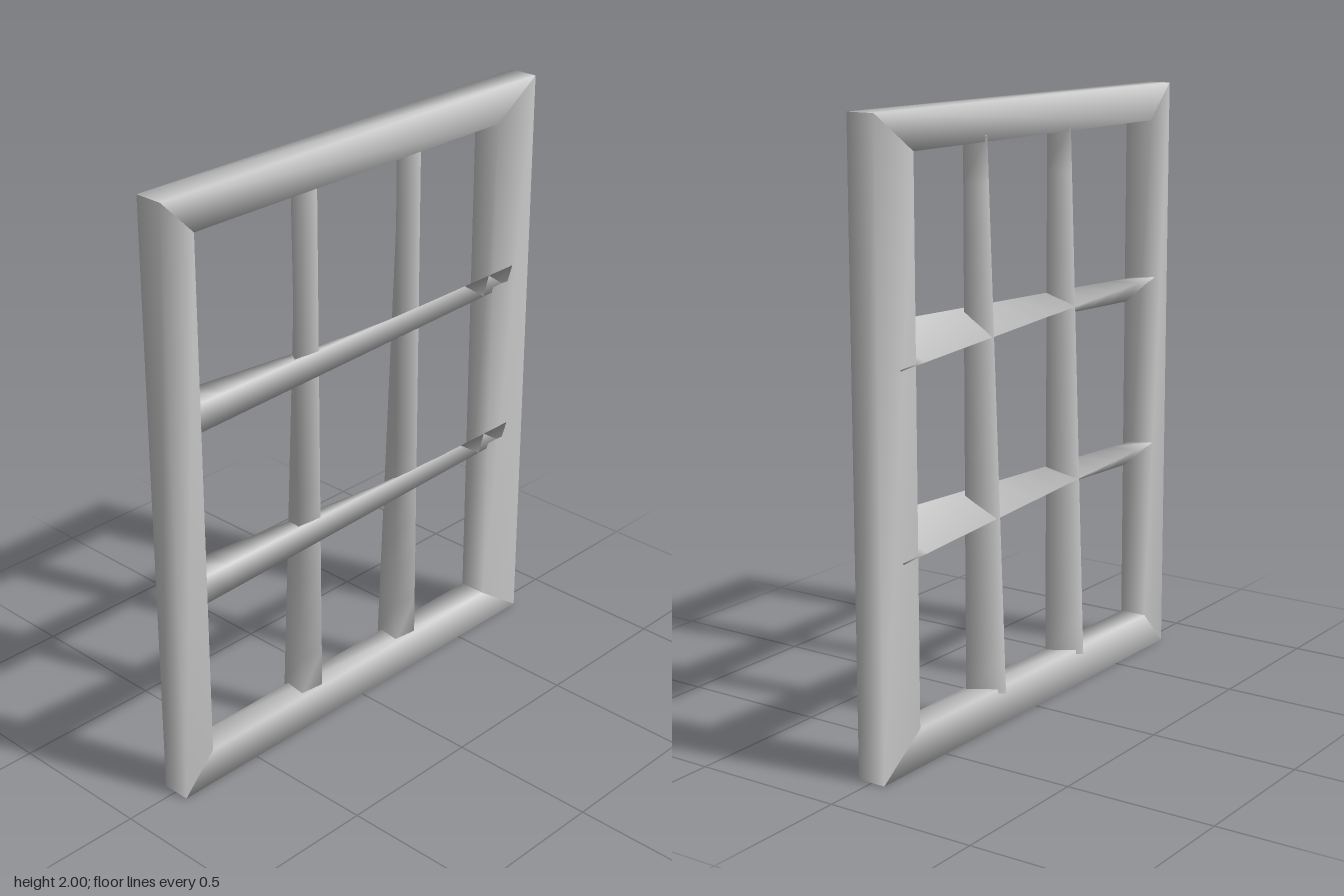
import * as THREE from 'three';

const material = new THREE.MeshStandardMaterial({ color: 0xcccccc });
const V = (x, y, z) => new THREE.Vector3(x, y, z);

// Smooth-shaded bar blended from cross-section a to b, with optional flat end caps
function loft(name, a, b, steps, capped) {
  const n = a.length, pos = [], index = [];
  for (let s = 0; s <= steps; s++)
    for (let i = 0; i < n; i++) pos.push(...a[i].clone().lerp(b[i], s / steps).toArray());
  for (let s = 0; s < steps; s++)
    for (let i = 0; i < n; i++) {
      const p = s * n + i, q = s * n + (i + 1) % n;
      index.push(p, q, q + n, p, q + n, p + n);
    }
  if (capped) {
    const first = pos.length / 3;
    for (const p of [...a, ...b]) pos.push(...p.toArray());
    for (let i = 1; i < n - 1; i++) {
      index.push(first, first + i + 1, first + i);
      index.push(first + n, first + n + i, first + n + i + 1);
    }
  }
  const geometry = new THREE.BufferGeometry();
  geometry.setAttribute('position', new THREE.Float32BufferAttribute(pos, 3));
  geometry.setIndex(index);
  geometry.computeVertexNormals();
  const mesh = new THREE.Mesh(geometry, material);
  mesh.name = name;
  return mesh;
}

export function createModel() {
  const group = new THREE.Group();
  group.name = 'windowFrame';

  // Four mitred rails, running around the opening from the bottom
  const outer = [[-0.81, 0], [0.81, 0], [0.81, 2], [-0.81, 2]];
  const inner = [[-0.69, 0.125], [0.63, 0.125], [0.63, 1.88], [-0.69, 1.88]];
  const front = 0.05, back = -0.047;
  const mitre = (i) => [
    V(...inner[i], front), V(...outer[i], front), V(...outer[i], back), V(...inner[i], back),
  ];
  ['bottomRail', 'leftStile', 'topRail', 'rightStile'].forEach((name, i) =>
    group.add(loft(name, mitre(i), mitre((i + 1) % 4), 1, false)));

  // Horizontal glazing bars: three-sided, with a back ridge that twists downwards
  for (const y of [0.665, 1.25]) {
    group.add(loft('horizontalBar',
      [V(-0.7, y + 0.085, 0.03), V(-0.7, y, 0.045), V(-0.7, y + 0.095, -0.065)],
      [V(0.705, y + 0.125, 0.068), V(0.705, y + 0.045, 0.045), V(0.705, y, -0.05)],
      12, true));
  }

  // Vertical glazing bars: the back ridge drifts sideways along the height
  for (const x of [-0.23, 0.228]) {
    group.add(loft('verticalBar',
      [V(x - 0.04, 0.11, 0.03), V(x + 0.045, 0.11, 0.04), V(x - 0.025, 0.11, -0.068)],
      [V(x - 0.05, 1.9, 0.02), V(x + 0.035, 1.9, 0.045), V(x + 0.05, 1.9, -0.056)],
      12, true));
  }
  return group;
}
